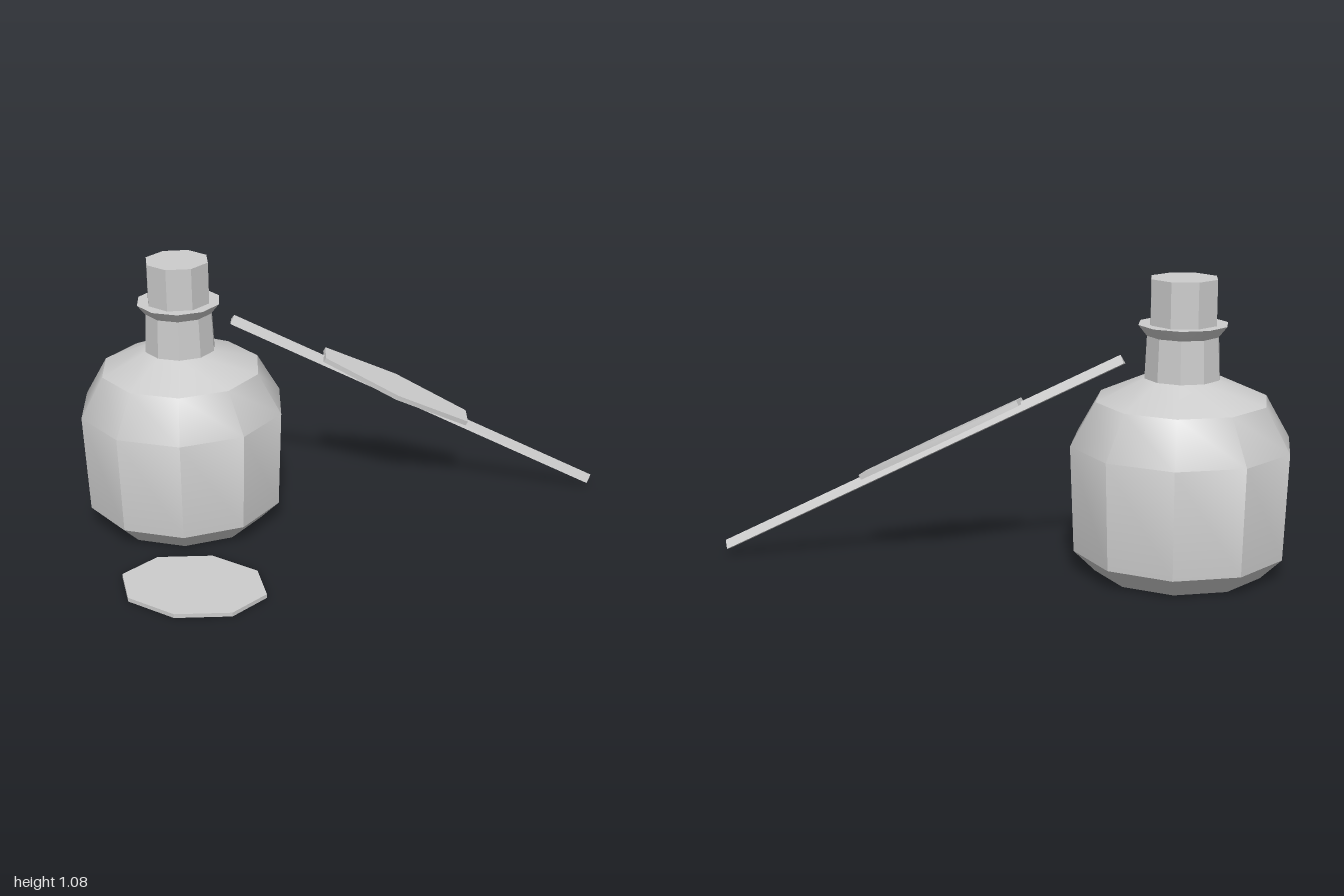
import * as THREE from 'three';
import { toCreasedNormals } from 'three/addons/utils/BufferGeometryUtils.js';

const CREASE = THREE.MathUtils.degToRad(35);

export function createModel() {
  const model = new THREE.Group();
  const grey = new THREE.MeshStandardMaterial({ color: 0xcccccc });
  grey.name = 'grey';

  function add(parent, name, geometry, x = 0, y = 0, z = 0) {
    const mesh = new THREE.Mesh(toCreasedNormals(geometry, CREASE), grey);
    mesh.name = name;
    mesh.position.set(x, y, z);
    parent.add(mesh);
    return mesh;
  }

  // Ten-sided bottle with chamfered foot, shoulder, neck and flared lip
  const bottle = new THREE.Group();
  bottle.name = 'bottle';
  bottle.position.set(-0.59, 0, -0.083);
  model.add(bottle);
  const profile = [
    [0, 0], [0.315, 0], [0.395, 0.08], [0.41, 0.475], [0.318, 0.635],
    [0.14, 0.715], [0.133, 0.87], [0.165, 0.91], [0, 0.91],
  ].map(([r, y]) => new THREE.Vector2(r, y));
  add(bottle, 'bottleBody', new THREE.LatheGeometry(profile, 10, Math.PI / 2));

  // Octagonal stopper
  add(bottle, 'stopper', new THREE.CylinderGeometry(0.126, 0.126, 0.168, 8), 0, 0.991, 0);

  // Flat oval plate on the ground
  const plate = new THREE.CylinderGeometry(1, 1, 0.016, 8);
  plate.scale(0.285, 1, 0.219);
  add(model, 'groundPlate', plate, -0.355, 0.008, 0.506);

  // Leaning paddle, built along its own x axis
  const start = new THREE.Vector3(-0.427, 0.79, -0.243);
  const end = new THREE.Vector3(0.985, 0.035, -0.711);
  const dir = end.clone().sub(start);
  const paddle = new THREE.Group();
  paddle.name = 'paddle';
  paddle.position.copy(start).add(end).multiplyScalar(0.5);
  paddle.rotation.set(0, Math.atan2(-dir.z, dir.x), Math.atan2(dir.y, Math.hypot(dir.x, dir.z)));
  model.add(paddle);

  // Three-sided shaft
  const shaft = new THREE.CylinderGeometry(0.023, 0.023, dir.length(), 3, 1, false, Math.PI + 0.3);
  shaft.rotateZ(Math.PI / 2);
  add(paddle, 'paddleShaft', shaft);

  // Six-cornered blade lying on the shaft
  const outline = new THREE.Shape([
    [-0.328, -0.048], [0, -0.096], [0.328, -0.048],
    [0.328, 0.048], [0, 0.096], [-0.328, 0.048],
  ].map(([x, y]) => new THREE.Vector2(x, y)));
  const blade = new THREE.ExtrudeGeometry(outline, { depth: 0.02, bevelEnabled: false });
  blade.rotateX(-Math.PI / 2);
  add(paddle, 'paddleBlade', blade, -0.104, 0.014, 0).rotation.x = 0.1;

  return model;
}
